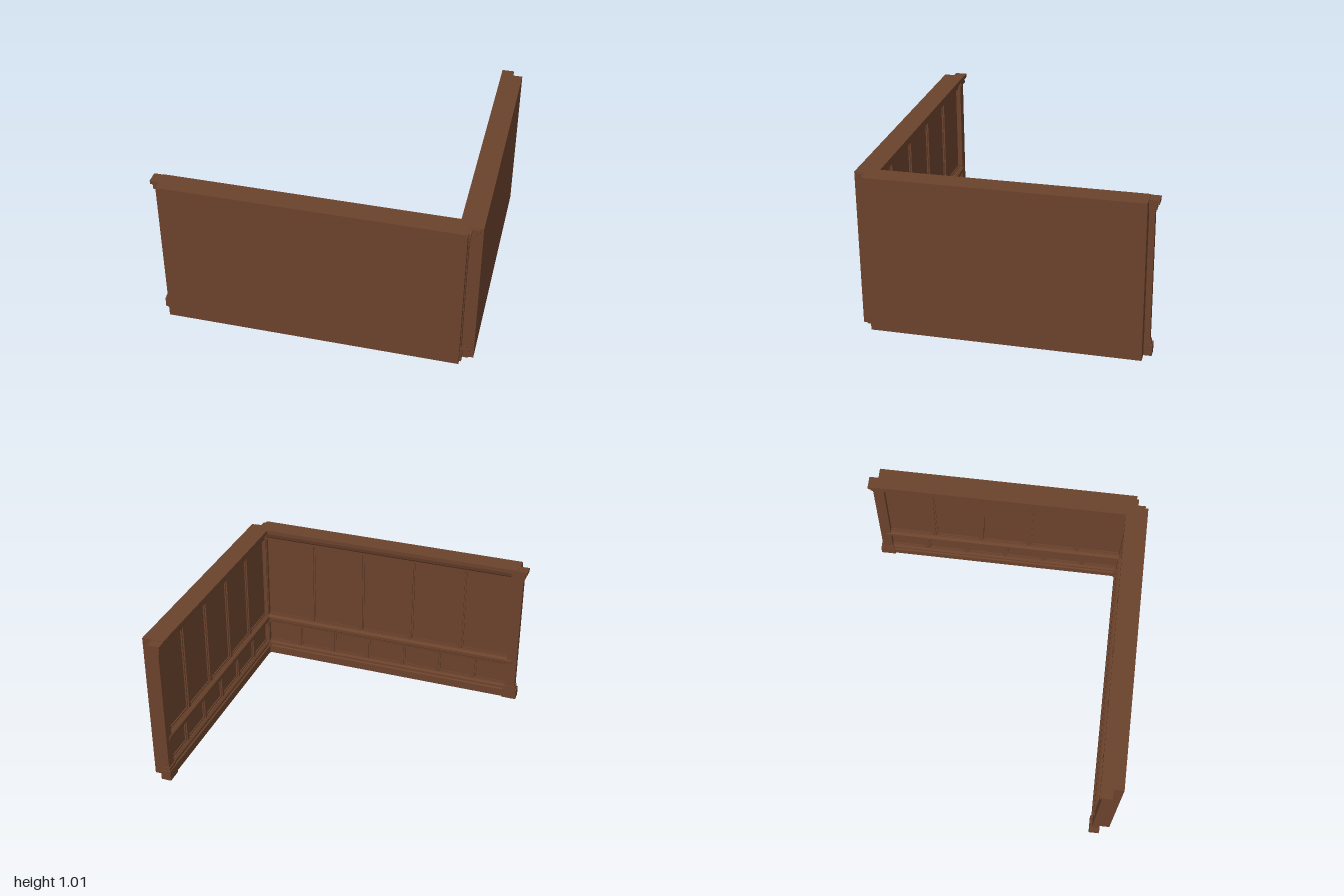
import * as THREE from 'three';

const wood = new THREE.MeshStandardMaterial({ color: 0x6a422c });
wood.name = 'brown wood';

const HEIGHT = 1.01, THICK = 0.08;

function add(group, name, geometry, x = 0, y = 0, z = 0) {
  const mesh = new THREE.Mesh(geometry, wood);
  mesh.name = name;
  mesh.position.set(x, y, z);
  group.add(mesh);
}

// Box given by its limits; v is the distance out from the panelled face (local -z)
function block(group, name, u0, u1, y0, y1, v0, v1) {
  add(group, name, new THREE.BoxGeometry(u1 - u0, y1 - y0, v1 - v0),
    (u0 + u1) / 2, (y0 + y1) / 2, -(v0 + v1) / 2);
}

// Moulding with a (v, y) profile run along the wall
function moulding(group, name, length, profile) {
  const shape = new THREE.Shape(profile.map(([v, y]) => new THREE.Vector2(v, y)));
  const g = new THREE.ExtrudeGeometry(shape, { depth: length, bevelEnabled: false });
  g.rotateY(Math.PI / 2).translate(-length / 2, 0, 0);
  add(group, name, g);
}

function rectangle(target, x0, x1, y0, y1) {
  target.moveTo(x0, y0).lineTo(x1, y0).lineTo(x1, y1).lineTo(x0, y1).closePath();
  return target;
}

// Row of equal panels: a pierced frame with a thin bead round each opening
function panelRow(group, name, length, count, y0, y1) {
  const frame = rectangle(new THREE.Shape(), -length / 2, length / 2, y0, y1);
  const pitch = (length - 0.02) / count, gap = 0.012, bead = 0.01;
  for (let i = 0; i < count; i++) {
    const c = (i - (count - 1) / 2) * pitch;
    const a = c - pitch / 2 + gap, b = c + pitch / 2 - gap;
    const lo = y0 + gap, hi = y1 - gap;
    frame.holes.push(rectangle(new THREE.Path(), a, b, lo, hi));
    const ring = rectangle(new THREE.Shape(), a, b, lo, hi);
    ring.holes.push(rectangle(new THREE.Path(), a + bead, b - bead, lo + bead, hi - bead));
    add(group, name + 'Bead',
      new THREE.ExtrudeGeometry(ring, { depth: 0.016, bevelEnabled: false }), 0, 0, -0.016);
  }
  add(group, name + 'Frame',
    new THREE.ExtrudeGeometry(frame, { depth: 0.024, bevelEnabled: false }), 0, 0, -0.024);
}

// Stepped post wrapped round the end of a wall
function pilaster(group, end) {
  const steps = [
    ['pilasterBase', 0.05, 0, 0.068, -0.012, 0.054],
    ['pilasterBaseStep', 0.042, 0.068, 0.09, -0.008, 0.048],
    ['pilasterShaft', 0.035, 0.09, 0.945, -0.004, 0.04],
    ['pilasterNeck', 0.046, 0.945, 0.982, -0.01, 0.051],
    ['pilasterCap', 0.06, 0.982, 1.006, -0.016, 0.061],
  ];
  for (const [name, half, y0, y1, v0, v1] of steps)
    block(group, name, end - half, end + half, y0, y1, v0, v1);
}

function panelledWall(name, length, upperCount, lowerCount) {
  const wall = new THREE.Group();
  wall.name = name;
  block(wall, 'wallSlab', -length / 2, length / 2, 0, HEIGHT, -THICK, 0);
  block(wall, 'panelBacking', -length / 2, length / 2, 0.05, 0.97, 0, 0.008);
  panelRow(wall, 'upperPanel', length, upperCount, 0.305, 0.94);
  panelRow(wall, 'lowerPanel', length, lowerCount, 0.08, 0.262);
  moulding(wall, 'skirting', length,
    [[0, 0], [0.045, 0], [0.045, 0.055], [0.036, 0.062], [0.036, 0.078], [0.026, 0.09], [0, 0.09]]);
  moulding(wall, 'chairRail', length,
    [[0, 0.25], [0.03, 0.25], [0.032, 0.268], [0.045, 0.278], [0.045, 0.3], [0.032, 0.312], [0, 0.316]]);
  moulding(wall, 'cornice', length,
    [[0, 0.925], [0.028, 0.925], [0.028, 0.94], [0.036, 0.95], [0.044, 0.978], [0.06, 0.984], [0.06, HEIGHT], [0, HEIGHT]]);
  for (const side of [-1, 1]) pilaster(wall, side * length / 2);
  return wall;
}

export function createModel() {
  const model = new THREE.Group();
  model.name = 'panelledCorner';
  const front = panelledWall('frontWall', 1.86, 5, 7);
  front.position.set(-0.01, 0, 0.822);
  const left = panelledWall('leftWall', 1.67, 5, 6);
  left.rotation.y = Math.PI / 2;
  left.position.set(0.92, 0, -0.01);
  model.add(front, left);
  return model;
}
